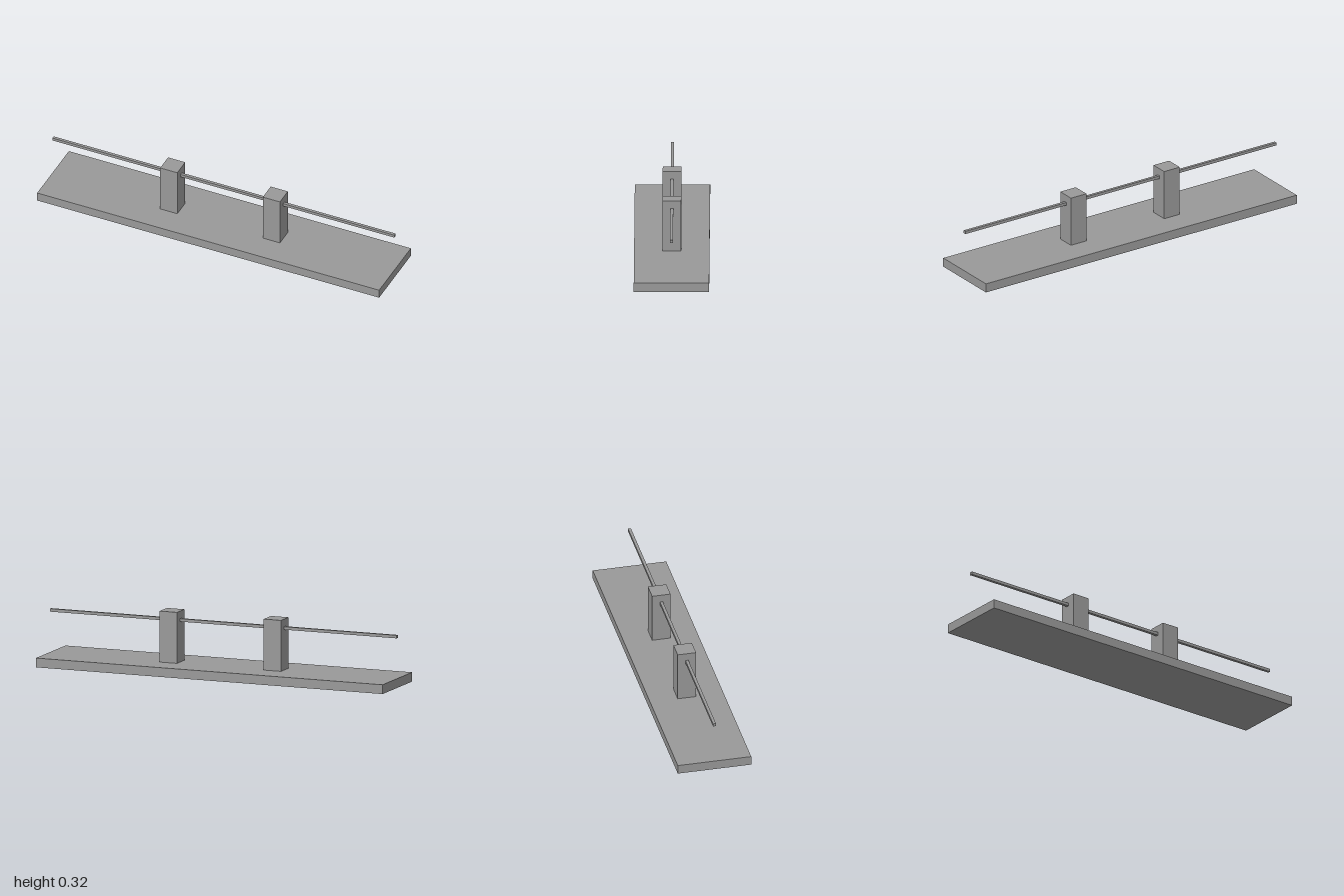
import * as THREE from 'three';

export function createModel() {
  const model = new THREE.Group();
  const grey = new THREE.MeshStandardMaterial({ color: 0x999999 });
  grey.name = 'grey';

  function addBox(name, width, height, depth, x, bottom) {
    const mesh = new THREE.Mesh(new THREE.BoxGeometry(width, height, depth), grey);
    mesh.name = name;
    mesh.position.set(x, bottom + height / 2, 0);
    model.add(mesh);
  }

  // Flat base plate
  addBox('base', 2, 0.05, 0.4, 0, 0);

  // Two upright posts
  addBox('leftPost', 0.1, 0.275, 0.1, 0.3, 0.05);
  addBox('rightPost', 0.1, 0.275, 0.1, -0.3, 0.05);

  // Thin square rail running through both posts
  addBox('rail', 2, 0.016, 0.016, 0, 0.268);

  return model;
}
